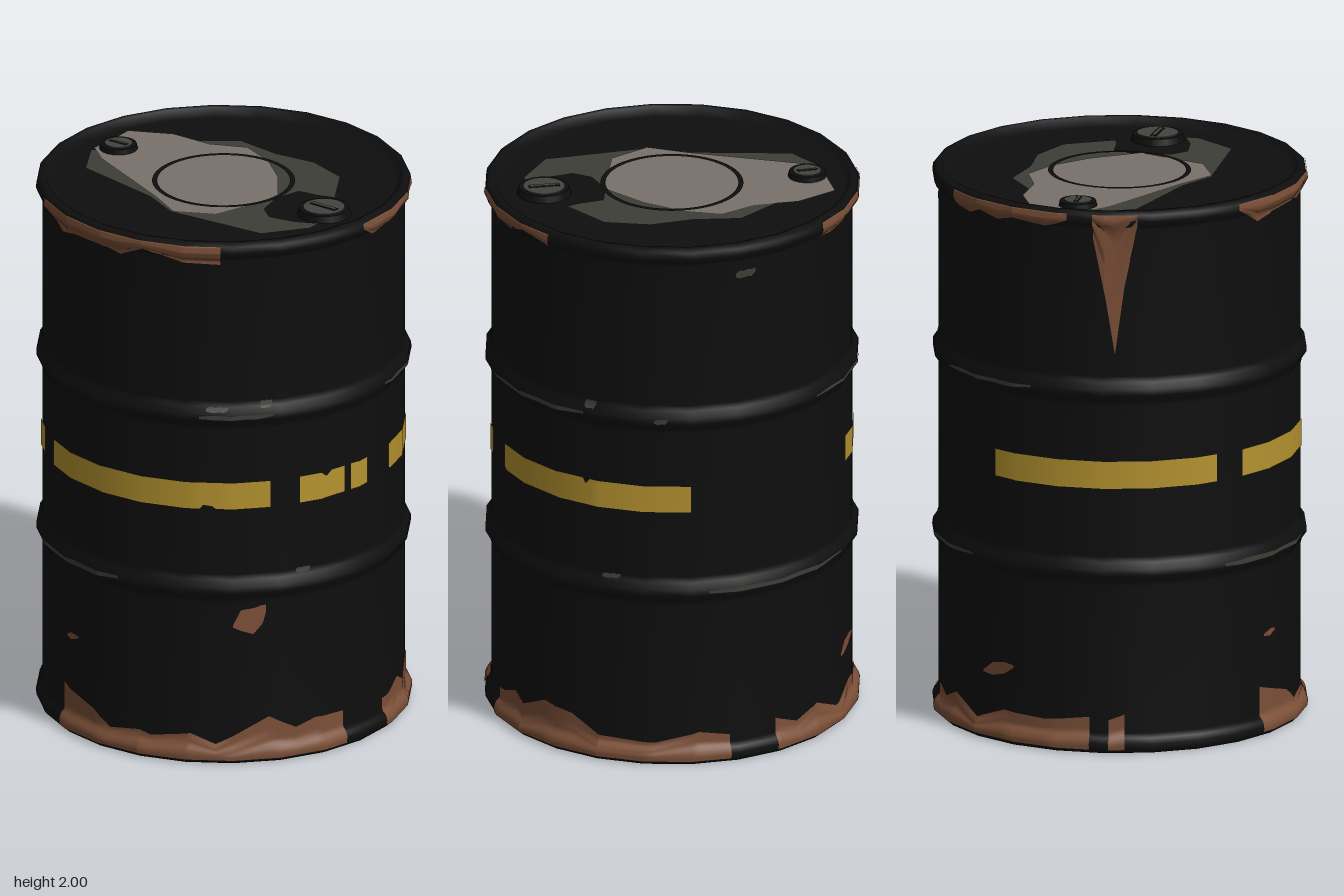
import * as THREE from 'three';

const mat = (name, color) => Object.assign(new THREE.MeshStandardMaterial({ color }), { name });
const SIDES = 24, STEP = 360 / SIDES, RAD = Math.PI / 180;
const LID = 1.968;

// Outer wall of the drum, [radius, y] from the lower rim to the upper rim
const rib = (y) => [[0.647, y - 0.055], [0.652, y - 0.035], [0.668, y - 0.012], [0.668, y + 0.012], [0.652, y + 0.035], [0.647, y + 0.055]];
const WALL = [
  [0.655, 0], [0.667, 0.012], [0.67, 0.035], [0.662, 0.055], [0.647, 0.07],
  ...rib(0.667), ...rib(1.333),
  [0.647, 1.93], [0.662, 1.945], [0.67, 1.965], [0.667, 1.988], [0.655, 2],
];

function wallRadius(y) {
  for (let i = 1; i < WALL.length; i++) {
    const [r0, y0] = WALL[i - 1], [r1, y1] = WALL[i];
    if (y <= y1) return r0 + (r1 - r0) * (y - y0) / (y1 - y0);
  }
  return 0.655;
}

// Painted patch hugging the faceted wall; columns are [angle, low y, high y]
function patchGeometry(cols, lift = 0.004, rows = 12) {
  const angles = cols.map((c) => c[0]);
  const first = angles[0], last = angles[angles.length - 1];
  for (let a = Math.ceil((first - STEP / 2) / STEP) * STEP + STEP / 2; a < last; a += STEP) {
    if (!angles.includes(a)) angles.push(a);
  }
  angles.sort((a, b) => a - b);
  const pos = [], index = [];
  angles.forEach((a, i) => {
    let k = 1;
    while (k < cols.length - 1 && cols[k][0] < a) k++;
    const [a0, l0, h0] = cols[k - 1], [a1, l1, h1] = cols[k];
    const t = (a - a0) / (a1 - a0), lo = l0 + (l1 - l0) * t, hi = h0 + (h1 - h0) * t;
    const off = a - Math.round(a / STEP) * STEP;
    const facet = Math.cos(STEP / 2 * RAD) / Math.cos(off * RAD);
    for (let j = 0; j <= rows; j++) {
      const y = lo + (hi - lo) * j / rows, r = wallRadius(y) * facet + lift;
      pos.push(r * Math.sin(a * RAD), y, r * Math.cos(a * RAD));
      if (i && j) {
        const d = i * (rows + 1) + j, c = d - rows - 1;
        index.push(c - 1, d - 1, d, c - 1, d, c);
      }
    }
  });
  const g = new THREE.BufferGeometry();
  g.setAttribute('position', new THREE.Float32BufferAttribute(pos, 3));
  g.setIndex(index);
  g.computeVertexNormals();
  return g;
}

// Flat plate on the lid from [x, z] corners
function lidPlate(points) {
  const shape = new THREE.Shape(points.map(([x, z]) => new THREE.Vector2(x, -z)));
  return new THREE.ShapeGeometry(shape).rotateX(-Math.PI / 2);
}

export function createModel() {
  const black = mat('black paint', 0x0e0e0e);
  const yellow = mat('yellow stripe', 0xb5932f);
  const rust = mat('rust', 0x7c5038);
  const grey = mat('worn grey', 0x3d3e37);
  const beige = mat('dusty beige', 0x79716a);
  const steel = mat('bung steel', 0x41443f);

  const model = new THREE.Group();
  model.name = 'drum';
  const add = (name, geometry, material, parent = model) => {
    const m = new THREE.Mesh(geometry, material);
    m.name = name;
    parent.add(m);
    return m;
  };

  // Drum shell with recessed ends
  const profile = [[0, 0.02], [0.61, 0.02], [0.63, 0], ...WALL, [0.635, 2], [0.615, LID], [0, LID]];
  add('drumBody', new THREE.LatheGeometry(profile.map(([r, y]) => new THREE.Vector2(r, y)), SIDES, STEP / 2 * RAD), black);

  // Broken yellow stripe
  const S0 = 0.975, S1 = 1.075;
  [
    [[-121, S0, S1], [-45, S0, S1]],
    [[-35, S0, S1], [27, S0, S1], [28, 0.99, S1], [31, 0.985, S1], [32, S0, S1], [49.5, S0, S1]],
    [[59.5, S0, S1], [67, S0, S1], [69, S0, 1.058], [71, S0, S1], [76.5, S0, S1]],
    [[79, S0, S1], [87, S0, S1]],
    [[99.5, 0.985, S1], [101, S0, S1], [137, S0, S1], [138, S0, 1.055], [139.5, S0, S1], [172.5, S0, S1]],
  ].forEach((c) => add('stripe', patchGeometry(c), yellow));

  // Rust hanging from the upper rim: [angle, lower edge]
  const T = 1.99;
  [
    [[-38, 1.965], [-33, 1.935], [-28, 1.9], [-21, 1.92], [-5, 1.925], [0, 1.91], [9, 1.96], [21, 1.92], [33.5, 1.915]],
    [[82.5, 1.97], [86, 1.945], [90, 1.92], [95, 1.94], [103, 1.925], [114, 1.97], [125, 1.93]],
    [[220, 1.93], [227, 1.92], [234, 1.95], [240, 1.925], [248, 1.95], [258, 1.93], [266, 1.965]],
    [[-86, 1.9], [-82, 1.68], [-79, 1.47], [-76, 1.72], [-72, 1.93]],
  ].forEach((c) => add('topRust', patchGeometry(c.map(([a, y]) => [a, y, T]), 0.004, 24), rust));

  // Rust creeping up from the lower rim: [angle, upper edge]
  [
    [[-27, 0.18], [-11, 0.13], [-4, 0.08], [7, 0.1], [11, 0.085], [24, 0.11], [32, 0.07], [49, 0.17], [58, 0.115], [65, 0.14], [76, 0.135]],
    [[95, 0.115], [100, 0.12], [107, 0.15], [112, 0.12], [122, 0.17], [133, 0.15], [143, 0.09], [161, 0.08], [175, 0.12], [185, 0.1]],
    [[201, 0.13], [210, 0.09], [219, 0.13], [231, 0.07], [243, 0.12], [258, 0.11], [273, 0.13]],
    [[279, 0.12], [284, 0.14]],
  ].forEach((c) => add('bottomRust', patchGeometry(c.map(([a, y]) => [a, 0.014, y])), rust));

  // Loose rust spots
  [
    [[37.5, 0.52, 0.53], [40, 0.505, 0.585], [44, 0.49, 0.59], [47, 0.53, 0.6], [48, 0.57, 0.6]],
    [[-25, 0.36, 0.37], [-22, 0.355, 0.385], [-18.5, 0.37, 0.38]],
    [[234, 0.24, 0.25], [238, 0.235, 0.285], [243, 0.25, 0.295], [247, 0.28, 0.29]],
  ].forEach((c) => add('rustSpot', patchGeometry(c), rust));

  // Chipped paint along the ribs: [from, to, y, half height]
  [
    [27, 50, 1.333, 0.009], [94, 138, 1.333, 0.009], [217, 254, 1.333, 0.008], [161, 165, 1.333, 0.01],
    [-43, 0, 0.668, 0.01], [178, 231, 0.668, 0.009],
    [29, 36, 1.36, 0.009], [46, 50, 1.375, 0.014], [138, 142, 1.37, 0.015],
    [58, 63, 0.718, 0.01], [144, 150, 0.715, 0.009], [187, 194, 1.88, 0.015],
  ].forEach(([a, b, y, h]) => {
    const d = (b - a) / 5;
    add('paintChip', patchGeometry([
      [a, y - h * 0.6, y + h * 0.4], [a + d, y - h, y + h], [a + 2 * d, y - h, y + h * 0.7],
      [a + 3 * d, y - h * 0.8, y + h], [b - d, y - h, y + h * 0.8], [b, y, y + h],
    ], 0.003, 4), grey);
  });

  // Worn areas on the lid
  add('lidWear', lidPlate([
    [-0.31, -0.26], [-0.17, -0.355], [0, -0.325], [0.16, -0.335], [0.315, -0.275], [0.41, -0.105], [0.36, -0.09],
    [0.27, -0.08], [0.24, 0.02], [0.265, 0.13], [0.32, 0.178], [0.42, 0.165], [0.5, 0.13], [0.5, 0.18], [0.385, 0.325],
    [0, 0.335], [-0.14, 0.26], [-0.48, 0.17], [-0.56, 0.02], [-0.45, -0.1],
  ]), grey).position.y = LID + 0.003;
  add('lidDust', lidPlate([
    [-0.55, -0.2], [-0.4, -0.265], [-0.24, -0.26], [-0.11, -0.31], [0.02, -0.25], [0.14, -0.14], [0.25, 0.02],
    [0.18, 0.2], [0.155, 0.27], [0.01, 0.335], [-0.12, 0.255], [-0.48, 0.07], [-0.56, 0], [-0.55, -0.05],
  ]), beige).position.y = LID + 0.006;
  add('lidRing', new THREE.RingGeometry(0.237, 0.255, 48).rotateX(-Math.PI / 2), black).position.y = LID + 0.009;

  // Screw bungs with slotted caps
  [['smallBung', -0.485, -0.045, 0.07, 0.05, 0], ['largeBung', 0.46, 0.037, 0.097, 0.075, -0.06]].forEach(([name, x, z, R, r, turn]) => {
    const bung = new THREE.Group();
    bung.name = name;
    bung.position.set(x, LID, z);
    bung.rotation.y = turn;
    add('collar', new THREE.CylinderGeometry(R * 0.93, R, 0.024, 20), black, bung).position.y = 0.012;
    add('cap', new THREE.CylinderGeometry(r, r, 0.006, 20), steel, bung).position.y = 0.025;
    add('slotEdge', new THREE.BoxGeometry(r * 1.5, 0.002, r * 0.32), black, bung).position.y = 0.0285;
    add('slot', new THREE.BoxGeometry(r * 1.36, 0.002, r * 0.18), steel, bung).position.y = 0.03;
    model.add(bung);
  });

  return model;
}
